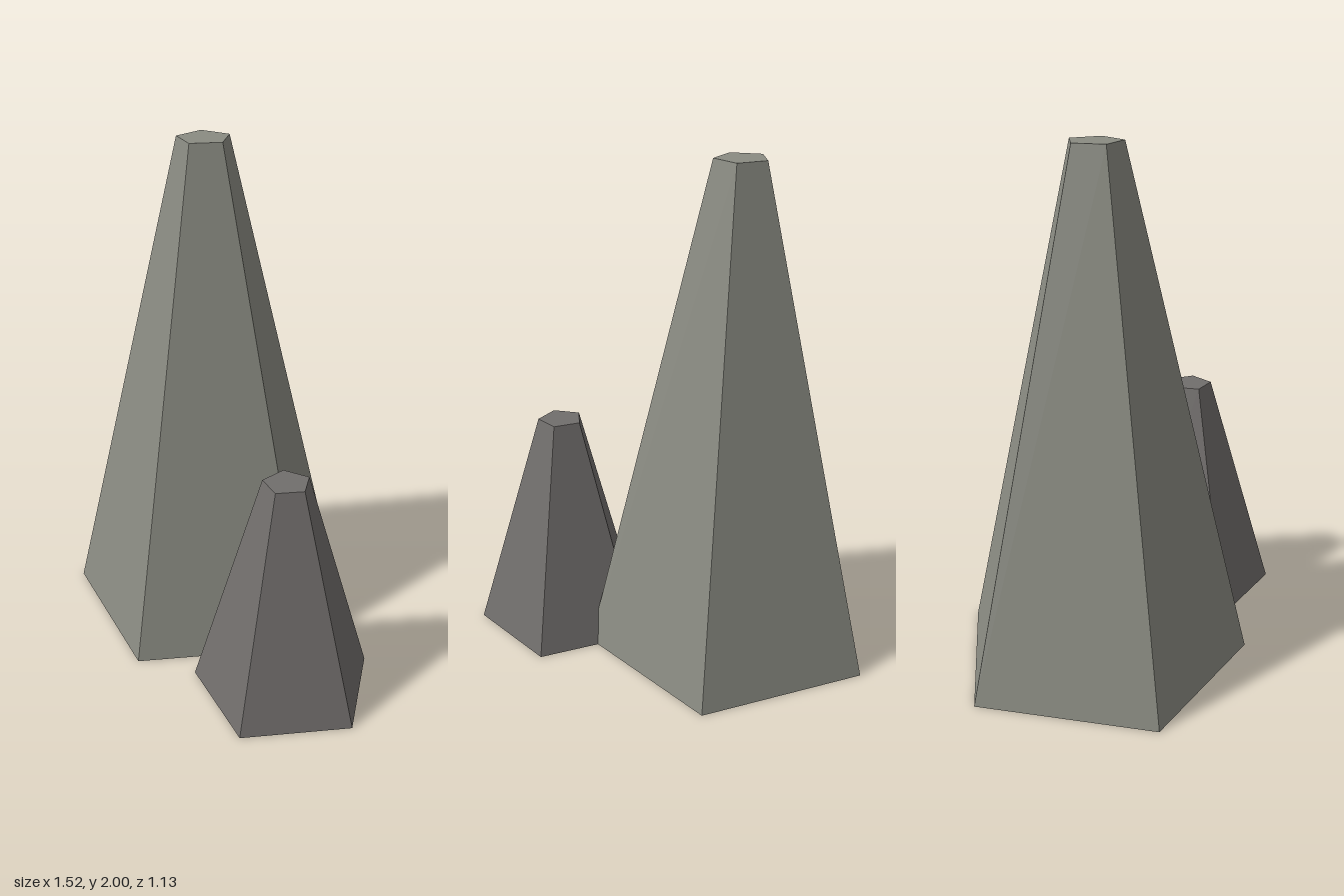
import * as THREE from 'three';

// Five-sided tapering rock spire with a flat tip, one corner pointing to +x
function spire(name, x, z, height, topRadius, baseRadius, color) {
  const geometry = new THREE.CylinderGeometry(topRadius, baseRadius, height, 5, 1, false, Math.PI / 2);
  const material = new THREE.MeshStandardMaterial({ color, flatShading: true });
  const mesh = new THREE.Mesh(geometry, material);
  mesh.name = name;
  mesh.position.set(x, height / 2, z);
  return mesh;
}

export function createModel() {
  const group = new THREE.Group();
  group.name = 'rockSpires';
  group.add(
    spire('largeSpire', -0.286, -0.007, 2, 0.105, 0.588, 0x8a8b82),
    spire('smallSpire', 0.397, 0.22, 0.91, 0.091, 0.361, 0x716e6c),
  );
  return group;
}
